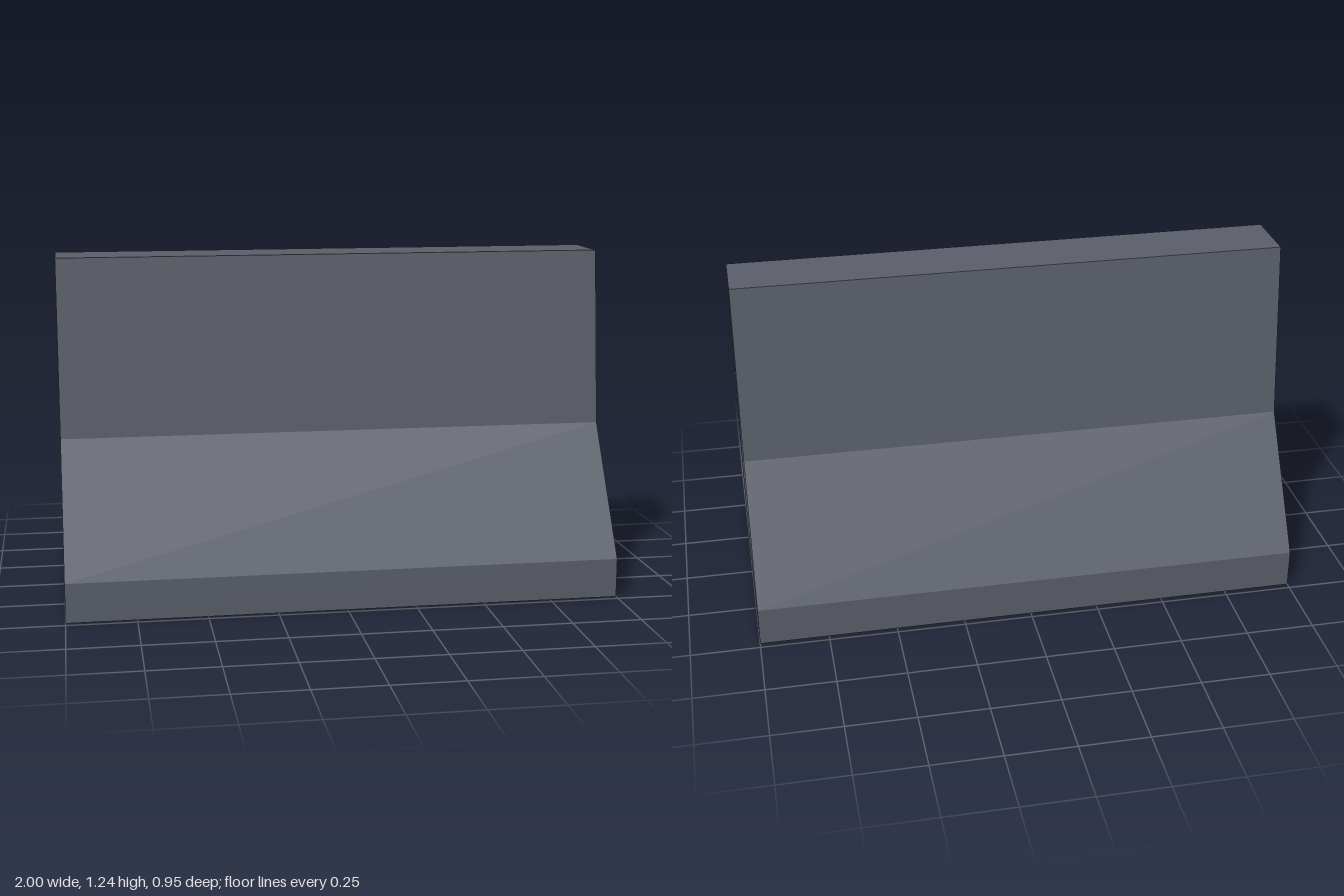
import * as THREE from 'three';

export function createModel() {
  const group = new THREE.Group();
  group.name = 'roadBarrier';

  const concrete = new THREE.MeshStandardMaterial({ color: 0x5a5e69 });
  concrete.name = 'dark grey concrete';

  // Half profile from foot to top (half width, height), mirrored to close the section
  const half = [[0.477, 0], [0.477, 0.143], [0.19, 0.597], [0.114, 1.24]];
  const mirrored = half.map(([w, h]) => [-w, h]).reverse();
  const section = new THREE.Shape([...half, ...mirrored].map(([w, h]) => new THREE.Vector2(w, h)));

  // Barrier body: the section swept along x
  const length = 2;
  const geometry = new THREE.ExtrudeGeometry(section, { depth: length, bevelEnabled: false });
  geometry.translate(0, 0, -length / 2);
  geometry.rotateY(Math.PI / 2);

  const body = new THREE.Mesh(geometry, concrete);
  body.name = 'barrierBody';
  group.add(body);
  return group;
}
